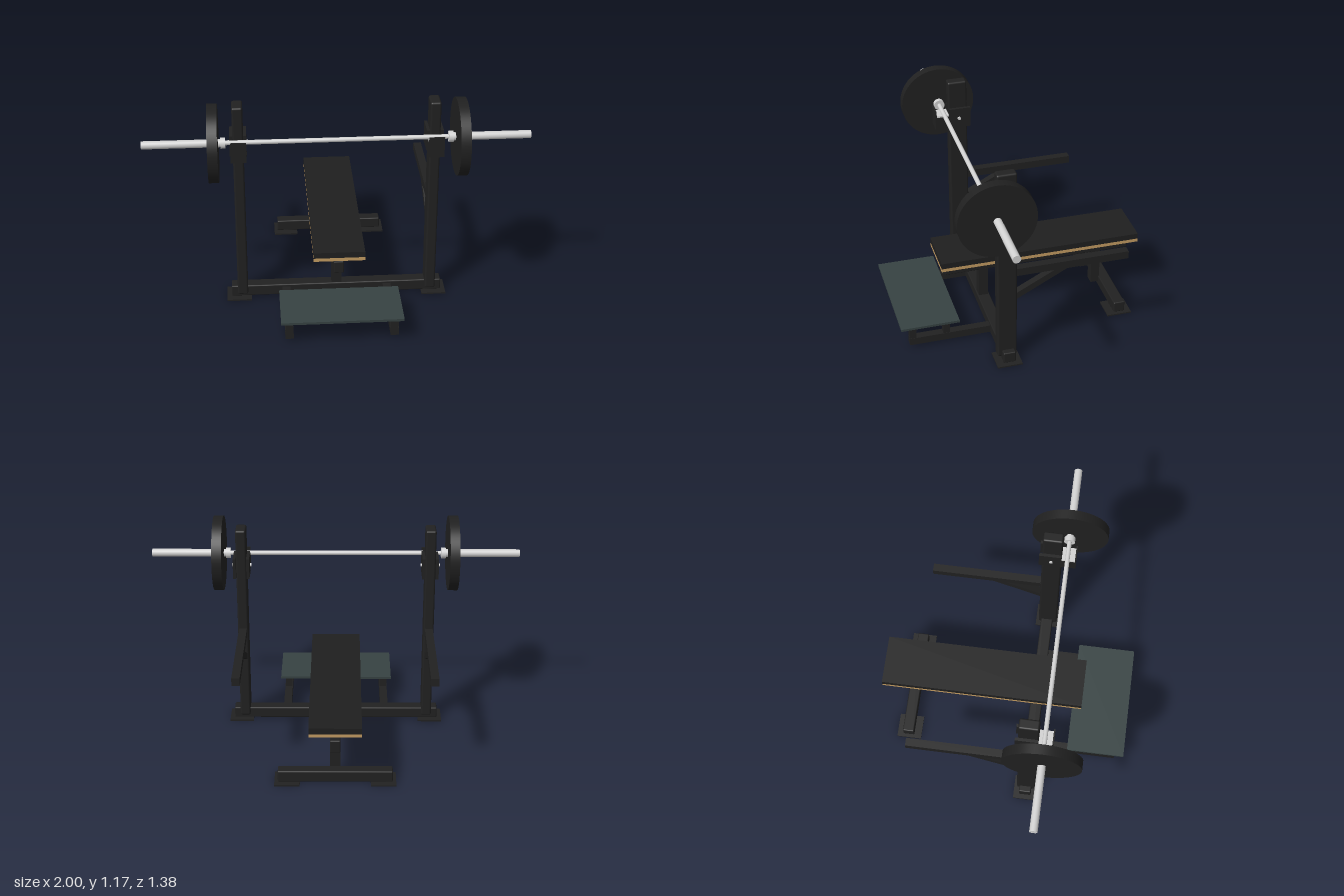
import * as THREE from 'three';
import { RoundedBoxGeometry } from 'three/addons/geometries/RoundedBoxGeometry.js';

const paint = (name, color) => new THREE.MeshStandardMaterial({ name, color });

export function createModel() {
  const model = new THREE.Group();
  model.name = 'benchPress';
  const steel = paint('blackSteel', 0x212121);
  const vinyl = paint('blackVinyl', 0x1f1f1f);
  const rubber = paint('blackRubber', 0x202020);
  const wood = paint('plywood', 0xc49c62);
  const slate = paint('slateDeck', 0x364242);
  const chrome = paint('chrome', 0xd2d2d2);

  const add = (name, geometry, material) => {
    const mesh = new THREE.Mesh(geometry, material);
    mesh.name = name;
    model.add(mesh);
    return mesh;
  };
  // Box given by its limits on each axis, optionally with rounded edges
  const box = (name, [x0, x1], [y0, y1], [z0, z1], material = steel, round = 0) => {
    const size = [x1 - x0, y1 - y0, z1 - z0];
    const geometry = round
      ? new RoundedBoxGeometry(...size, 2, round)
      : new THREE.BoxGeometry(...size);
    const mesh = add(name, geometry, material);
    mesh.position.set((x0 + x1) / 2, (y0 + y1) / 2, (z0 + z1) / 2);
    return mesh;
  };
  // Box on one side of the model, with x limits measured outwards
  const sideBox = (name, side, [x0, x1], ...rest) =>
    box(name, side > 0 ? [x0, x1] : [-x1, -x0], ...rest);
  // Cylinder lying along x
  const rod = (name, radius, x0, x1, y, z, material, sides = 24) => {
    const geometry = new THREE.CylinderGeometry(radius, radius, x1 - x0, sides).rotateZ(Math.PI / 2);
    add(name, geometry, material).position.set((x0 + x1) / 2, y, z);
  };
  const sideRod = (name, side, radius, x0, x1, ...rest) =>
    rod(name, radius, side > 0 ? x0 : -x1, side > 0 ? x1 : -x0, ...rest);

  // Floor frame and bench supports
  box('frontCrossbeam', [-0.57, 0.57], [0.008, 0.07], [0.13, 0.197], steel, 0.006);
  box('rearCrossbeam', [-0.3, 0.3], [0.008, 0.07], [-0.57, -0.507], steel, 0.006);
  box('frontPost', [-0.027, 0.027], [0.07, 0.245], [0.138, 0.19]);
  box('rearPost', [-0.027, 0.027], [0.035, 0.245], [-0.512, -0.463]);
  box('benchSpine', [-0.027, 0.027], [0.24, 0.31], [-0.67, 0.376], steel, 0.006);
  for (const z of [-0.488, 0.2])
    box('padBracket', [-0.117, 0.117], [0.31, 0.342], [z - 0.024, z + 0.024]);

  // Bench pad on a plywood board
  box('padBoard', [-0.135, 0.135], [0.341, 0.36], [-0.69, 0.42], wood);
  box('padCushion', [-0.135, 0.135], [0.36, 0.392], [-0.69, 0.42], vinyl);

  // Diagonal brace outline in the z-y plane
  const braceShape = new THREE.Shape([
    [0.116, 0.383], [0.116, 0.421], [-0.09, 0.529], [-0.16, 0.529],
  ].map(([z, y]) => new THREE.Vector2(-z, y)));

  for (const side of [1, -1]) {
    // Feet
    sideBox('frontFootPlate', side, [0.463, 0.595], [0, 0.008], [0.1, 0.235]);
    sideBox('rearFootPlate', side, [0.185, 0.318], [0, 0.008], [-0.603, -0.467]);

    // Uprights, spotter arms and braces
    sideBox('upright', side, [0.481, 0.537], [0.03, 1.14], [0.115, 0.22], steel, 0.01);
    sideBox('spotterArm', side, [0.488, 0.531], [0.527, 0.57], [-0.487, 0.12]);
    const brace = new THREE.ExtrudeGeometry(braceShape, { depth: 0.04, bevelEnabled: false });
    brace.translate(0, 0, -0.02).rotateY(Math.PI / 2);
    add('armBrace', brace, steel).position.x = side * 0.51;

    // Bar hooks bolted to the uprights
    for (const [x0, x1] of [[0.465, 0.481], [0.537, 0.553]])
      sideBox('hookSidePlate', side, [x0, x1], [0.87, 0.985], [0.1, 0.22]);
    sideBox('hookCup', side, [0.468, 0.549], [0.868, 0.942], [0.2, 0.29]);
    sideBox('hookLiner', side, [0.47, 0.547], [0.942, 0.951], [0.22, 0.29], chrome);
    sideBox('hookLip', side, [0.468, 0.549], [0.868, 0.98], [0.29, 0.297]);
    sideRod('hookBolt', side, 0.009, 0.457, 0.562, 0.927, 0.165, chrome, 12);

    // Step supports
    sideBox('stepRail', side, [0.252, 0.295], [0.015, 0.057], [0.195, 0.64]);
    for (const z of [0.438, 0.621])
      sideBox('stepPost', side, [0.254, 0.293], [0.057, 0.13], [z - 0.018, z + 0.018]);

    // Bar sleeves and weights
    sideRod('barCollar', side, 0.029, 0.573, 0.598, 0.963, 0.25, chrome);
    sideRod('barSleeve', side, 0.021, 0.598, 1, 0.963, 0.25, chrome);
    sideRod('weightPlate', side, 0.203, 0.61, 0.662, 0.963, 0.25, rubber, 64);
  }

  box('stepDeck', [-0.317, 0.317], [0.13, 0.143], [0.37, 0.688], slate);
  rod('bar', 0.012, -0.575, 0.575, 0.963, 0.25, chrome);

  return model;
}
